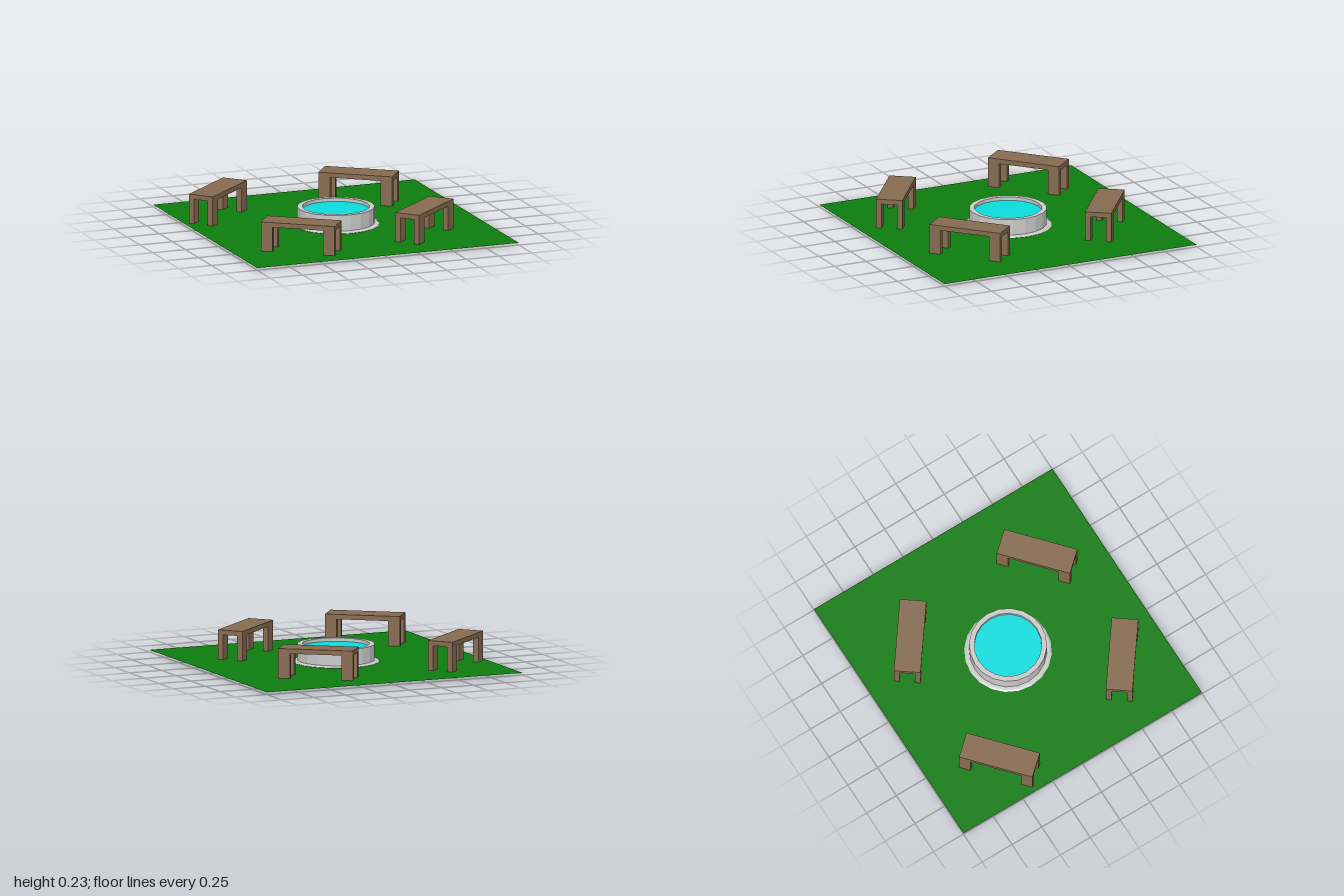
import * as THREE from 'three';

const wood = new THREE.MeshStandardMaterial({ color: 0x876b50 });
const grass = new THREE.MeshStandardMaterial({ color: 0x0e7d0e, side: THREE.DoubleSide });
const waterBlue = new THREE.MeshStandardMaterial({ color: 0x0cdede });
const stone = new THREE.MeshStandardMaterial({ color: 0xcccccc, flatShading: true });

const SIDES = 20;
const GROUND_Y = 0.016;

function addMesh(parent, name, geometry, material, x = 0, y = 0, z = 0) {
  const mesh = new THREE.Mesh(geometry, material);
  mesh.name = name;
  mesh.position.set(x, y, z);
  parent.add(mesh);
  return mesh;
}

// Plank seat on four flat legs, flush with the seat's corners
function createBench(x, z, angle) {
  const length = 0.543, width = 0.19, top = 0.23, thick = 0.035, foot = 0.012;
  const legLength = 0.085, legWidth = 0.04, legHeight = top - thick - foot;
  const bench = new THREE.Group();
  bench.name = 'bench';
  addMesh(bench, 'seat', new THREE.BoxGeometry(length, thick, width), wood, 0, top - thick / 2, 0);
  const legGeometry = new THREE.BoxGeometry(legLength, legHeight, legWidth);
  for (const sx of [-1, 1]) {
    for (const sz of [-1, 1]) {
      addMesh(bench, 'leg', legGeometry, wood,
        sx * (length - legLength) / 2, foot + legHeight / 2, sz * (width - legWidth) / 2);
    }
  }
  bench.position.set(x, 0, z);
  bench.rotation.y = angle;
  return bench;
}

// Round pool: flared foot, straight wall, flat rim and water
function createPool() {
  const pool = new THREE.Group();
  pool.name = 'pool';
  const profile = [
    [0, 0], [0.225, 0], [0.285, 0.005], [0.312, 0.02], [0.3, 0.028],
    [0.277, 0.03], [0.277, 0.145], [0.24, 0.145], [0.24, 0.11],
  ].map(([r, y]) => new THREE.Vector2(r, y));
  addMesh(pool, 'basin', new THREE.LatheGeometry(profile, SIDES), stone);
  const surface = new THREE.CircleGeometry(0.24, SIDES).rotateX(-Math.PI / 2).rotateY(-Math.PI / 2);
  addMesh(pool, 'water', surface, waterBlue, 0, 0.12, 0);
  return pool;
}

export function createModel() {
  const model = new THREE.Group();
  model.name = 'parkPool';

  // Square lawn
  addMesh(model, 'lawn', new THREE.PlaneGeometry(2, 2).rotateX(-Math.PI / 2), grass, 0, GROUND_Y, 0);

  model.add(createPool());

  // Four benches around the pool: x, z, turn
  const benches = [
    [-0.7, -0.51, 0.727],
    [0.463, 0.534, 0.727],
    [0.4, -0.57, -0.637],
    [-0.518, 0.632, -0.637],
  ];
  for (const [x, z, angle] of benches) model.add(createBench(x, z, angle));

  return model;
}
